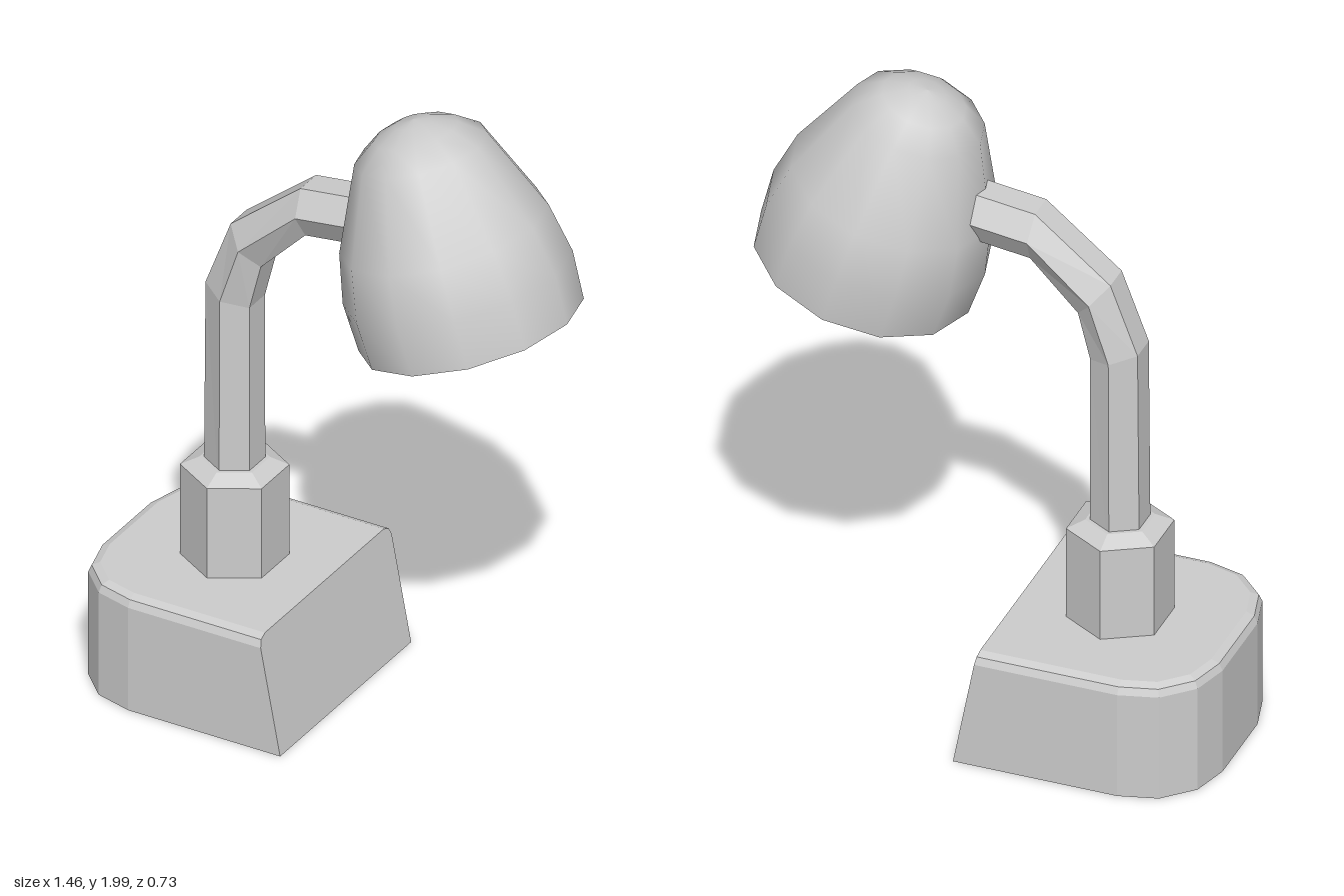
import * as THREE from 'three';

const grey = new THREE.MeshStandardMaterial({ color: 0xcccccc });
grey.name = 'light grey';

// Flat-faced solid through convex rings (ordered clockwise seen from above)
function loft(rings) {
  const pos = [];
  const tri = (...pts) => pts.forEach((p) => pos.push(...p));
  const n = rings[0].length, first = rings[0], last = rings[rings.length - 1];
  for (let j = 0; j < rings.length - 1; j++) {
    const lo = rings[j], hi = rings[j + 1];
    for (let i = 0; i < n; i++) {
      const k = (i + 1) % n;
      tri(lo[i], hi[i], hi[k]);
      tri(lo[i], hi[k], lo[k]);
    }
  }
  for (let i = 1; i < n - 1; i++) {
    tri(first[0], first[i], first[i + 1]);
    tri(last[0], last[i + 1], last[i]);
  }
  const geo = new THREE.BufferGeometry();
  geo.setAttribute('position', new THREE.Float32BufferAttribute(pos, 3));
  geo.computeVertexNormals();
  return geo;
}

function flat(geo) {
  const g = geo.toNonIndexed();
  g.computeVertexNormals();
  return g;
}

function part(name, geo) {
  const mesh = new THREE.Mesh(geo, grey);
  mesh.name = name;
  return mesh;
}

// Base outline: two rounded corners at -x, sloping straight end at +x
function baseRing(y, inset) {
  const half = 0.365 - inset, r = 0.23 - inset, xEnd = -0.07 * y / 0.37;
  const side = [[xEnd, y, half]];
  for (let i = 0; i <= 3; i++) {
    const a = (i / 3) * Math.PI / 2;
    side.push([-0.5 - r * Math.sin(a), y, 0.135 + r * Math.cos(a)]);
  }
  return [...side, ...side.slice().reverse().map(([x, yy, z]) => [x, yy, -z])];
}

// Hexagonal arm section, tilted in the xy plane
function armRing([x, y, degrees]) {
  const t = THREE.MathUtils.degToRad(degrees), ring = [];
  for (let i = 0; i < 6; i++) {
    const a = i * Math.PI / 3, s = -0.087 * Math.sin(a);
    ring.push([x + s * Math.cos(t), y + s * Math.sin(t), 0.087 * Math.cos(a)]);
  }
  return ring;
}

export function createModel() {
  const lamp = new THREE.Group();
  lamp.name = 'deskLamp';

  // Base block with a softened top edge
  const steps = [[0, 0], [0.338, 0], [0.36, 0.01], [0.37, 0.034]];
  lamp.add(part('base', loft(steps.map(([y, d]) => baseRing(y, d)))));

  // Hexagonal socket and its chamfered collar
  const socket = part('socket', flat(new THREE.CylinderGeometry(0.155, 0.155, 0.305, 6)));
  socket.position.set(-0.365, 0.5125, 0);
  const collar = part('socketCollar', flat(new THREE.CylinderGeometry(0.1, 0.155, 0.025, 6)));
  collar.position.set(-0.365, 0.6775, 0);
  lamp.add(socket, collar);

  // Bent arm: centre x, y and section tilt
  const path = [[-0.365, 0.6, 0], [-0.363, 1.248, -17], [-0.303, 1.43, -49], [-0.115, 1.598, -84], [0.15, 1.632, -83]];
  lamp.add(part('arm', loft(path.map(armRing))));

  // Tilted shade: smooth outer shell, faceted rim and inner disc
  const shade = new THREE.Group();
  shade.name = 'shade';
  const lathe = (pts) => new THREE.LatheGeometry(pts.map(([r, y]) => new THREE.Vector2(r, y)), 12);
  shade.add(part('shadeShell', lathe([
    [0.33, 0], [0.337, 0.15], [0.307, 0.303], [0.196, 0.557], [0.125, 0.612], [0.056, 0.642], [0, 0.65],
  ])));
  shade.add(part('shadeRim', flat(lathe([[0.21, 0.07], [0.33, 0]]))));
  const disc = part('lightDisc', new THREE.CircleGeometry(0.21, 12));
  disc.rotation.x = Math.PI / 2;
  disc.position.y = 0.07;
  shade.add(disc);
  shade.rotation.z = THREE.MathUtils.degToRad(17.2);
  shade.position.set(0.413, 1.364, 0);
  lamp.add(shade);

  return lamp;
}
